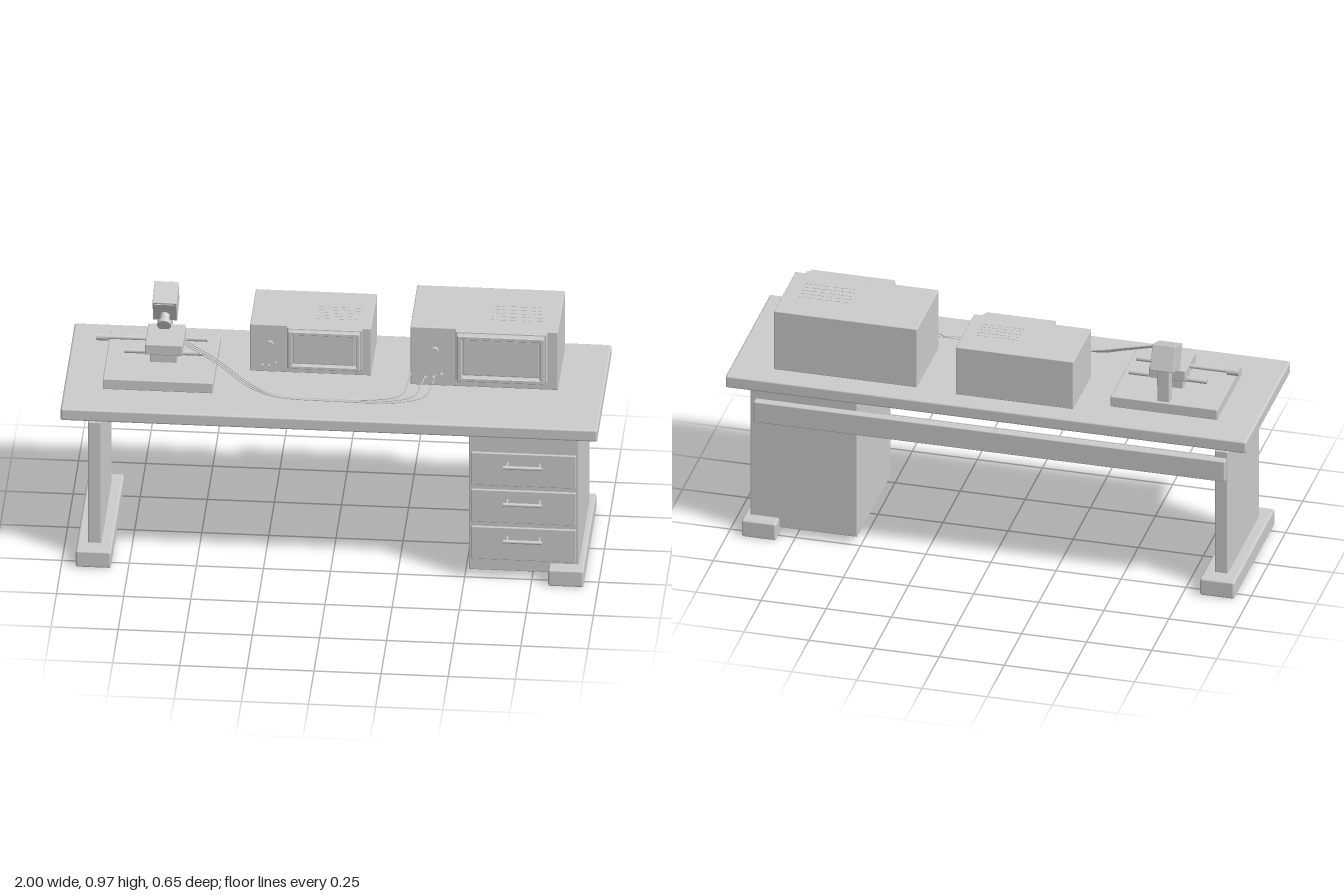
import * as THREE from 'three';
import { RoundedBoxGeometry } from 'three/addons/geometries/RoundedBoxGeometry.js';

const grey = new THREE.MeshStandardMaterial({ color: 0xcccccc });
grey.name = 'light grey';

function add(parent, name, geometry, x = 0, y = 0, z = 0) {
  const mesh = new THREE.Mesh(geometry, grey);
  mesh.name = name;
  mesh.position.set(x, y, z);
  parent.add(mesh);
  return mesh;
}

// Box given by its limits, with softened edges when r > 0
function box(parent, name, [x0, x1], [y0, y1], [z0, z1], r = 0) {
  const w = x1 - x0, h = y1 - y0, d = z1 - z0;
  const geometry = r ? new RoundedBoxGeometry(w, h, d, 2, r) : new THREE.BoxGeometry(w, h, d);
  return add(parent, name, geometry, (x0 + x1) / 2, (y0 + y1) / 2, (z0 + z1) / 2);
}

// Cylinder along the x, y or z axis, centred on x, y, z
function rod(parent, name, axis, r, length, x, y, z) {
  const geometry = new THREE.CylinderGeometry(r, r, length, 20);
  if (axis === 'x') geometry.rotateZ(Math.PI / 2);
  if (axis === 'z') geometry.rotateX(Math.PI / 2);
  return add(parent, name, geometry, x, y, z);
}

function rectangle(target, x0, x1, y0, y1) {
  target.moveTo(x0, y0);
  target.lineTo(x1, y0);
  target.lineTo(x1, y1);
  target.lineTo(x0, y1);
  target.closePath();
  return target;
}

// Rectangular frame facing +z
function frame(parent, name, [x0, x1], [y0, y1], [z0, z1], rim) {
  const shape = rectangle(new THREE.Shape(), x0, x1, y0, y1);
  shape.holes.push(rectangle(new THREE.Path(), x0 + rim, x1 - rim, y0 + rim, y1 - rim));
  const bevel = 0.003;
  const geometry = new THREE.ExtrudeGeometry(shape, {
    depth: z1 - z0 - bevel, bevelThickness: bevel, bevelSize: bevel,
    bevelOffset: -bevel, bevelSegments: 1,
  });
  return add(parent, name, geometry, 0, 0, z0);
}

function buildDesk() {
  const desk = new THREE.Group();
  desk.name = 'desk';
  box(desk, 'tabletop', [-1, 1], [0.64, 0.69], [-0.325, 0.325], 0.008);
  box(desk, 'legPanel', [-0.905, -0.855], [0.06, 0.585], [-0.23, 0.23], 0.005);
  box(desk, 'backRail', [-0.905, 0.905], [0.48, 0.567], [-0.275, -0.243], 0.005);
  for (const s of [-1, 1]) {
    const x = s * 0.88;
    box(desk, 'foot', [x - 0.066, x + 0.066], [0, 0.07], [-0.295, 0.297], 0.008);
  }
  box(desk, 'drawerCabinet', [0.515, 0.925], [0.03, 0.62], [-0.243, 0.245], 0.004);
  // Three drawer fronts with bar handles
  for (const y of [0.154, 0.312, 0.47]) {
    box(desk, 'drawerFront', [0.525, 0.915], [y - 0.069, y + 0.069], [0.251, 0.262], 0.003);
    rod(desk, 'drawerHandle', 'x', 0.007, 0.145, 0.72, y + 0.03, 0.297);
    for (const x of [0.66, 0.78]) rod(desk, 'handlePost', 'z', 0.004, 0.036, x, y + 0.03, 0.279);
  }
  return desk;
}

// Bench instrument: case front on z = 0, left edge on x = 0, bottom on y = 0
function buildInstrument() {
  const unit = new THREE.Group();
  unit.name = 'benchInstrument';
  box(unit, 'case', [0, 0.55], [0, 0.247], [-0.315, 0], 0.004);
  box(unit, 'screenHousing', [0.18, 0.5], [0.042, 0.24], [-0.02, 0.012], 0.003);
  frame(unit, 'screenFlange', [0.17, 0.51], [0.036, 0.246], [0, 0.02], 0.014);
  frame(unit, 'screenBezel', [0.178, 0.502], [0.045, 0.24], [0.022, 0.045], 0.017);
  box(unit, 'bezelCore', [0.182, 0.498], [0.048, 0.236], [0.01, 0.024]);
  box(unit, 'screen', [0.2, 0.48], [0.066, 0.218], [0.022, 0.03], 0.003);
  // Dial and sockets
  rod(unit, 'dialStem', 'z', 0.008, 0.02, 0.092, 0.158, 0.01);
  rod(unit, 'dial', 'z', 0.017, 0.012, 0.092, 0.158, 0.024);
  for (const [x, y] of [[0.055, 0.035], [0.085, 0.035], [0.115, 0.05]]) {
    rod(unit, 'socket', 'z', 0.006, 0.014, x, y, 0.007);
  }
  // Ventilation slats on the lid
  for (let row = 0; row < 5; row++) {
    for (let col = 0; col < 6; col++) {
      const x = 0.295 + col * 0.034, z = -0.185 + row * 0.026;
      box(unit, 'vent', [x, x + 0.024], [0.247, 0.2485], [z, z + 0.007]);
    }
  }
  for (const x of [0.09, 0.465]) {
    for (const z of [-0.26, -0.06]) rod(unit, 'rubberFoot', 'y', 0.012, 0.016, x, -0.006, z);
  }
  return unit;
}

function buildMicroscope() {
  const scope = new THREE.Group();
  scope.name = 'microscope';
  box(scope, 'basePlate', [-0.855, -0.445], [0.694, 0.738], [-0.195, 0.172], 0.004);
  box(scope, 'stageSupport', [-0.69, -0.59], [0.735, 0.79], [-0.07, 0.03], 0.003);
  box(scope, 'stage', [-0.707, -0.567], [0.785, 0.83], [-0.1, 0.062], 0.004);
  for (const z of [-0.075, 0.032]) rod(scope, 'stageRail', 'x', 0.01, 0.3, -0.635, 0.785, z);
  rod(scope, 'adjusterRod', 'x', 0.008, 0.16, -0.78, 0.81, -0.02);
  rod(scope, 'adjusterKnob', 'x', 0.015, 0.046, -0.871, 0.81, -0.02);
  box(scope, 'post', [-0.668, -0.622], [0.735, 0.9], [-0.185, -0.14], 0.003);

  // Tilted head with its lens pointing forward and down
  const head = new THREE.Group();
  head.name = 'head';
  head.position.set(-0.645, 0.905, -0.14);
  head.rotation.x = 0.37;
  box(head, 'headCase', [-0.045, 0.045], [-0.05, 0.05], [-0.053, 0.053], 0.003);
  box(head, 'headWindow', [-0.037, 0.037], [0.018, 0.043], [0.052, 0.056], 0.001);
  rod(head, 'lensTube', 'z', 0.018, 0.04, 0, -0.02, 0.07);
  rod(head, 'lensRing', 'z', 0.026, 0.018, 0, -0.02, 0.094);
  scope.add(head);
  return scope;
}

// Three leads draped from the stage to the right instrument
function buildCables() {
  const cables = new THREE.Group();
  cables.name = 'cables';
  const ends = [[0.285, 0.76], [0.335, 0.74], [0.375, 0.757]];
  ends.forEach(([x, y], i) => {
    const o = i * 0.006;
    const path = new THREE.CatmullRomCurve3([
      [-0.56, 0.845 - o, 0.04 + o], [-0.42, 0.785 - o, 0.09 + o],
      [-0.32, 0.735 - o, 0.14 + o], [-0.22, 0.703, 0.174 + o],
      [0, 0.694, 0.178 + o], [x - 0.12, 0.694, 0.166 + o],
      [x - 0.03, 0.706, 0.145], [x - 0.01, 0.73, 0.11], [x, y, 0.07],
    ].map((p) => new THREE.Vector3(...p)));
    add(cables, 'cable', new THREE.TubeGeometry(path, 64, 0.0025, 6));
  });
  return cables;
}

export function createModel() {
  const model = new THREE.Group();
  model.name = 'workbench';
  const large = buildInstrument();
  large.position.set(0.282, 0.704, 0.06);
  const small = buildInstrument();
  small.position.set(-0.32, 0.701, 0.002);
  small.scale.set(0.82, 0.81, 0.84);
  model.add(buildDesk(), large, small, buildMicroscope(), buildCables());
  return model;
}
